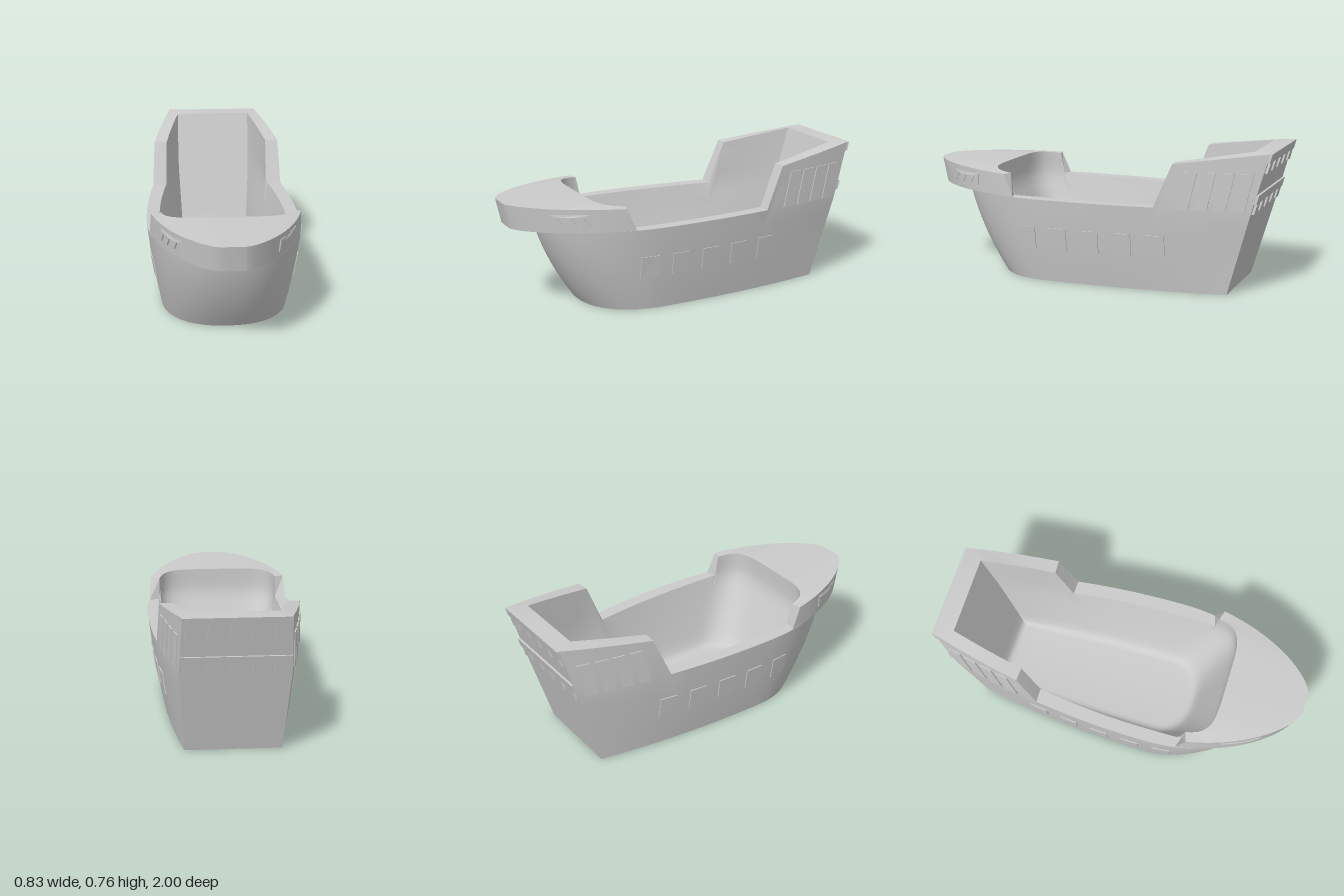
import * as THREE from 'three';
import { toCreasedNormals } from 'three/addons/utils/BufferGeometryUtils.js';

const RIM = 0.465, FLOOR = 0.08, Z0 = 0.2; // rim height, hold floor, widest station
const lerp = THREE.MathUtils.lerp;
const grey = new THREE.MeshStandardMaterial({ color: 0xcccccc, side: THREE.DoubleSide });

// Hull outline at height y: stern end, bow end, half beam, transom half width
const sternZ = y => -0.77 - 0.284 * y;
const ease = (y, a) => { const u = Math.min(1, y / RIM); return a * u - (a - 1) * u * u; };
const bowZ = y => 0.58 + 0.22 * ease(y, 1.5);
const beam = y => 0.34 + 0.075 * ease(y, 1.3);
const transomW = y => 0.25 + 0.03 * Math.min(1, y / RIM) - 0.05 * Math.max(0, y - RIM);
function hullX(z, y) {
  const m = beam(y);
  if (z < Z0) return m - (m - transomW(y)) * ((Z0 - z) / (Z0 - sternZ(y))) ** 2;
  return m * Math.max(0, 1 - ((z - Z0) / (bowZ(y) - Z0)) ** 2.3) ** (1 / 2.3);
}

// Foredeck outline, leaning slightly forward towards the top
const deckTip = y => 0.97 + 0.03 * Math.min(1, (y - RIM) / 0.13);
const deckX = (z, y) =>
  0.06 + 0.355 * Math.max(0, 1 - ((z - Z0) / (deckTip(y) - Z0)) ** 2) ** 0.7;

// Columns of one half, from stern centre around the side to bow centre:
// q runs aft from the widest station, a is the angle round the bow
const Q_LOW = 0.545, Q_HIGH = 0.599, A_LOW = 0.257, A_HIGH = 0.315;
const columns = [{ q: 1, mid: true }];
for (const q of [1, 0.9, 0.8, 0.7, Q_HIGH, Q_LOW, 0.45, 0.35, 0.25, 0.15, 0.07]) columns.push({ q });
for (const a of [0, 0.1, 0.18, A_LOW, A_HIGH]) columns.push({ a });
for (let i = 1; i <= 18; i++) columns.push({ a: lerp(A_HIGH, Math.PI / 2, i / 18) });
columns.push({ a: Math.PI / 2, mid: true });

const onDeck = c => c.a >= A_LOW;
const hullTop = c => c.q >= Q_HIGH ? 0.7 + 0.065 * (c.q - Q_HIGH) / (1 - Q_HIGH) : RIM;

function hullPoint(c, y) {
  const z = c.q !== undefined ? lerp(Z0, sternZ(y), c.q)
    : Z0 + (bowZ(y) - Z0) * Math.sin(c.a) ** (2 / 2.3);
  return [c.mid ? 0 : hullX(z, y), y, z];
}
const deckZ = (c, y) => Z0 + (deckTip(y) - Z0) * Math.sin(c.a);
const deckTop = c => c.a >= A_HIGH ? 0.585 + 0.028 * (deckZ(c, 0.6) - 0.45) : RIM;
function deckPoint(c, y) {
  if (!onDeck(c)) return hullPoint(c, hullTop(c));
  const z = deckZ(c, y);
  return [c.mid ? 0 : deckX(z, y), y, z];
}
const rimTop = c => onDeck(c) ? deckTop(c) : hullTop(c);

// Inside wall of the hold at height y
function holdPoint(c, y, inset = 0) {
  const v = THREE.MathUtils.clamp((y - FLOOR) / (RIM - FLOOR), 0, 1);
  const m = 0.225 + 0.12 * v ** 0.8 - inset;
  let x, z;
  if (c.q !== undefined) {
    const q = c.q ** 0.85;
    z = lerp(Z0, -0.7 - 0.284 * (y - FLOOR) + inset, q);
    x = m - (m - (0.195 + 0.02 * v - inset)) * q * q;
  } else {
    const e = 2 / lerp(2.3, 5, v);
    z = Z0 + (0.4 + 0.17 * v - inset - Z0) * Math.sin(c.a) ** e;
    x = m * Math.max(0, Math.cos(c.a)) ** e;
  }
  return [c.mid ? 0 : x, y, z];
}

// Joins rows of points (each a function of the column) into a mirrored closed surface
function loft(name, rows) {
  const loops = rows.map(row => {
    const half = columns.map(c => new THREE.Vector3(...row(c)));
    const other = half.slice(1, -1).reverse().map(p => new THREE.Vector3(-p.x, p.y, p.z));
    return [...half, ...other];
  });
  const pos = [], tri = new THREE.Triangle(), n = loops[0].length;
  const add = (a, b, c) => {
    if (tri.set(a, b, c).getArea() > 1e-8) for (const p of [a, b, c]) pos.push(p.x, p.y, p.z);
  };
  for (let r = 0; r < loops.length - 1; r++) {
    for (let i = 0; i < n; i++) {
      const j = (i + 1) % n;
      const a = loops[r][i], b = loops[r][j], c = loops[r + 1][j], d = loops[r + 1][i];
      add(a, d, c);
      add(a, c, b);
    }
  }
  const geo = new THREE.BufferGeometry();
  geo.setAttribute('position', new THREE.Float32BufferAttribute(pos, 3));
  const mesh = new THREE.Mesh(toCreasedNormals(geo, 0.55), grey);
  mesh.name = name;
  return mesh;
}

// Extrudes a flat outline and moves every vertex by a rule
function relief(name, pts, depth, rule) {
  const shape = new THREE.Shape(pts.map(p => new THREE.Vector2(...p)));
  const geo = new THREE.ExtrudeGeometry(shape, { depth: depth + 0.01, bevelEnabled: false });
  const p = geo.attributes.position;
  for (let i = 0; i < p.count; i++) p.setXYZ(i, ...rule(p.getX(i), p.getY(i), p.getZ(i) - 0.01));
  geo.computeVertexNormals();
  const mesh = new THREE.Mesh(geo, grey);
  mesh.name = name;
  return mesh;
}

// Raised panel wrapped on one side, outlined in (z, y)
const sidePanel = (name, pts, side, widthAt, depth) =>
  relief(name, pts.map(([z, y]) => [-side * z, y]), depth, (a, y, d) => {
    const z = -side * a;
    return [side * (widthAt(z, y) + d), y, z];
  });

// Trim across the transom with teeth hanging from its lower edge
function transomTrim(name, top) {
  const mid = top - 0.05, low = top - 0.105, teeth = 5;
  const pts = [[-1, top], [-1, mid]];
  for (let i = 0; i < teeth; i++) {
    const x = -1 + 2 * (i + 0.25) / teeth, w = 1 / teeth;
    pts.push([x, mid], [x - 0.03, low], [x + w + 0.03, low], [x + w, mid]);
  }
  pts.push([1, mid], [1, top]);
  return relief(name, pts, 0.013, (x, y, d) => [-x * transomW(y), y, sternZ(y) - d]);
}

export function createModel() {
  const model = new THREE.Group();
  model.name = 'ship';

  // Outer planking with flat bottom
  const hullRows = [c => [0, 0, hullPoint(c, 0)[2]]];
  for (let i = 0; i <= 10; i++) hullRows.push(c => hullPoint(c, hullTop(c) * i / 10));
  model.add(loft('hull', hullRows));

  // Gunwale and overhanging foredeck
  model.add(loft('gunwaleAndForedeck', [
    c => hullPoint(c, hullTop(c)),
    c => deckPoint(c, RIM),
    c => deckPoint(c, deckTop(c)),
    c => holdPoint(c, rimTop(c)),
  ]));

  // Hold with a rounded floor edge
  const holdRows = [];
  for (let i = 10; i >= 0; i--) holdRows.push(c => holdPoint(c, lerp(0.11, rimTop(c), i / 10)));
  holdRows.push(
    c => holdPoint(c, 0.092, 0.006),
    c => holdPoint(c, 0.083, 0.018),
    c => holdPoint(c, FLOOR, 0.035),
    c => [0, FLOOR, holdPoint(c, FLOOR, 0.035)[2]],
  );
  model.add(loft('hold', holdRows));

  for (const side of [1, -1]) {
    // Gun ports
    for (let i = 0; i < 5; i++) {
      const z = 0.315 - 0.18 * i, w = 0.049;
      const pts = [[z - w, 0.19], [z + w, 0.19], [z + w, 0.31], [z - w, 0.31]];
      model.add(sidePanel('gunPort', pts, side, hullX, 0.006));
    }
    // Slanted stern panels
    for (let i = 0; i < 4; i++) {
      const z = -0.515 - 0.095 * i;
      const pts = [[z, RIM], [z - 0.068, RIM], [z - 0.113, 0.66], [z - 0.045, 0.66]];
      model.add(sidePanel('sternPanel', pts, side, hullX, 0.006));
    }
    // Zigzag on the foredeck
    const zig = [[0.82, 0.565], [0.63, 0.565]];
    for (let i = 0; i <= 6; i++) zig.push([0.63 + 0.19 * i / 6, i % 2 ? 0.55 : 0.503]);
    model.add(sidePanel('foredeckZigzag', zig, side, deckX, 0.006));
  }

  model.add(transomTrim('upperTransomTrim', 0.765), transomTrim('lowerTransomTrim', 0.55));
  return model;
}
